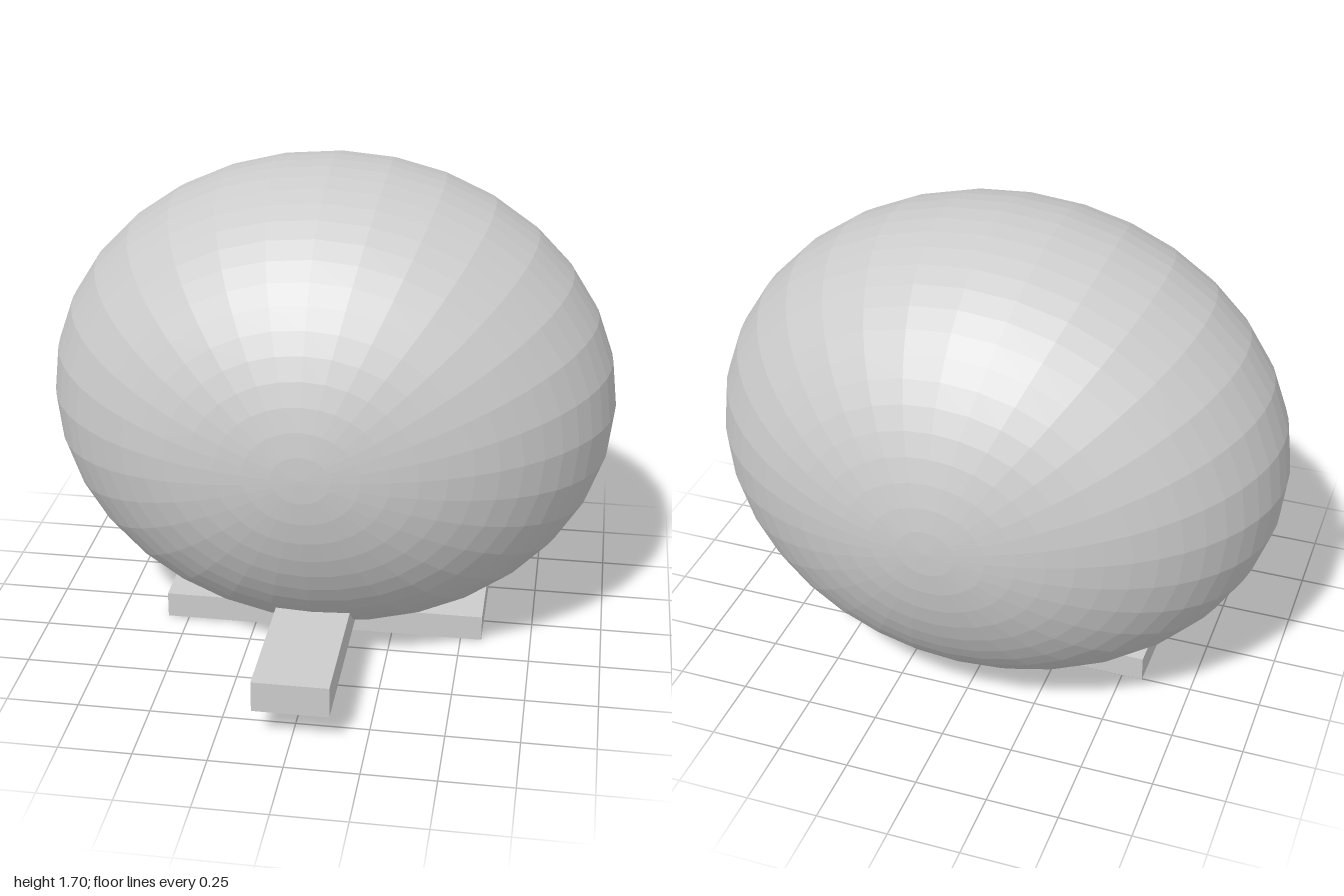
import * as THREE from 'three';

export function createModel() {
  const group = new THREE.Group();
  const material = new THREE.MeshStandardMaterial({ color: 0xcccccc, flatShading: true });

  const add = (name, geometry, x, y, z) => {
    const mesh = new THREE.Mesh(geometry, material);
    mesh.name = name;
    mesh.position.set(x, y, z);
    group.add(mesh);
  };

  // Faceted ellipsoid body, poles facing front and back
  const body = new THREE.SphereGeometry(1, 32, 32);
  body.rotateX(Math.PI / 2);
  body.scale(1, 0.85, 0.75);
  add('body', body, 0, 0.85, -0.11);

  // Wide flat bar the body rests on
  add('baseBar', new THREE.BoxGeometry(1.15, 0.093, 0.4), 0, 0.0515, -0.06);

  // Narrow bar reaching forward from under the body
  add('frontBar', new THREE.BoxGeometry(0.26, 0.11, 0.8), 0, 0.165, 0.46);

  return group;
}
